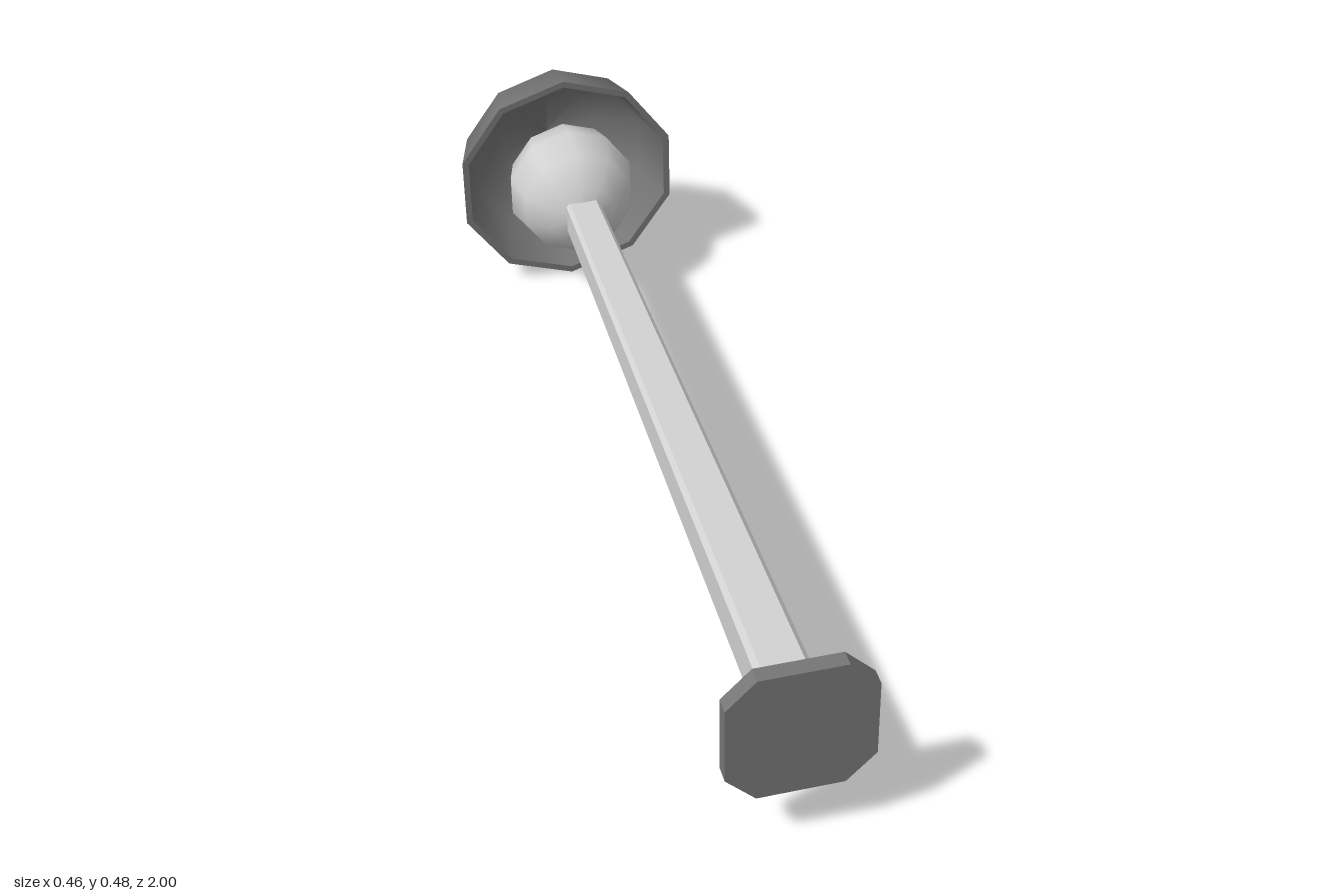
import * as THREE from 'three';

const light = new THREE.MeshStandardMaterial({ color: 0xd2d2d2 });
light.name = 'light grey';
const dark = new THREE.MeshStandardMaterial({ color: 0x767676 });
dark.name = 'dark grey';

function part(name, geometry, material) {
  const mesh = new THREE.Mesh(geometry, material);
  mesh.name = name;
  return mesh;
}

// Ten-sided surface of revolution about the z axis, pointing to the back
function turned(points, z) {
  const pts = points.map(([r, h]) => new THREE.Vector2(r, h));
  return new THREE.LatheGeometry(pts, 10).rotateX(-Math.PI / 2).translate(0, 0, z);
}

// Arc profile of [radius, height] points between two latitudes in degrees
function arc(radius, from, to, steps) {
  return Array.from({ length: steps + 1 }, (_, i) => {
    const a = THREE.MathUtils.degToRad(from + ((to - from) * i) / steps);
    return [Math.max(0, radius * Math.cos(a)), radius * Math.sin(a)];
  });
}

// Square with cut corners, extruded along z
function cutSquare(half, cut, z0, z1) {
  const k = half - cut;
  const shape = new THREE.Shape([
    [half, -k], [half, k], [k, half], [-k, half],
    [-half, k], [-half, -k], [-k, -half], [k, -half],
  ].map(([x, y]) => new THREE.Vector2(x, y)));
  return new THREE.ExtrudeGeometry(shape, { depth: z1 - z0, bevelEnabled: false }).translate(0, 0, z0);
}

export function createModel() {
  const model = new THREE.Group();
  model.name = 'lamp';

  // Wall plate at the front end
  model.add(part('mountingPlate', cutSquare(0.127, 0.052, 0.97, 1), dark));

  // Square rod, narrowing towards the bulb
  const rod = cutSquare(0.048, 0.01, -0.62, 0.97);
  const pos = rod.attributes.position;
  for (let i = 0; i < pos.count; i++) {
    const s = pos.getZ(i) < 0 ? 0.75 : 1;
    pos.setXY(i, pos.getX(i) * s, pos.getY(i) * s);
  }
  rod.computeVertexNormals();
  model.add(part('rod', rod, light));

  // Round bulb
  model.add(part('bulb', turned(arc(0.138, -90, 90, 6), -0.725), light));

  // Bowl shade: outside, flat rim and inside
  const shade = new THREE.Group();
  shade.name = 'shade';
  shade.add(
    part('shadeOutside', turned(arc(0.24, 0, 90, 3), -0.76), dark),
    part('shadeRim', turned([[0.226, 0], [0.24, 0]], -0.76), dark),
    part('shadeInside', turned(arc(0.226, 90, 0, 3), -0.76), dark),
  );
  model.add(shade);

  model.position.y = 0.24;
  model.rotation.z = 0.02;
  const root = new THREE.Group();
  root.add(model);
  return root;
}
